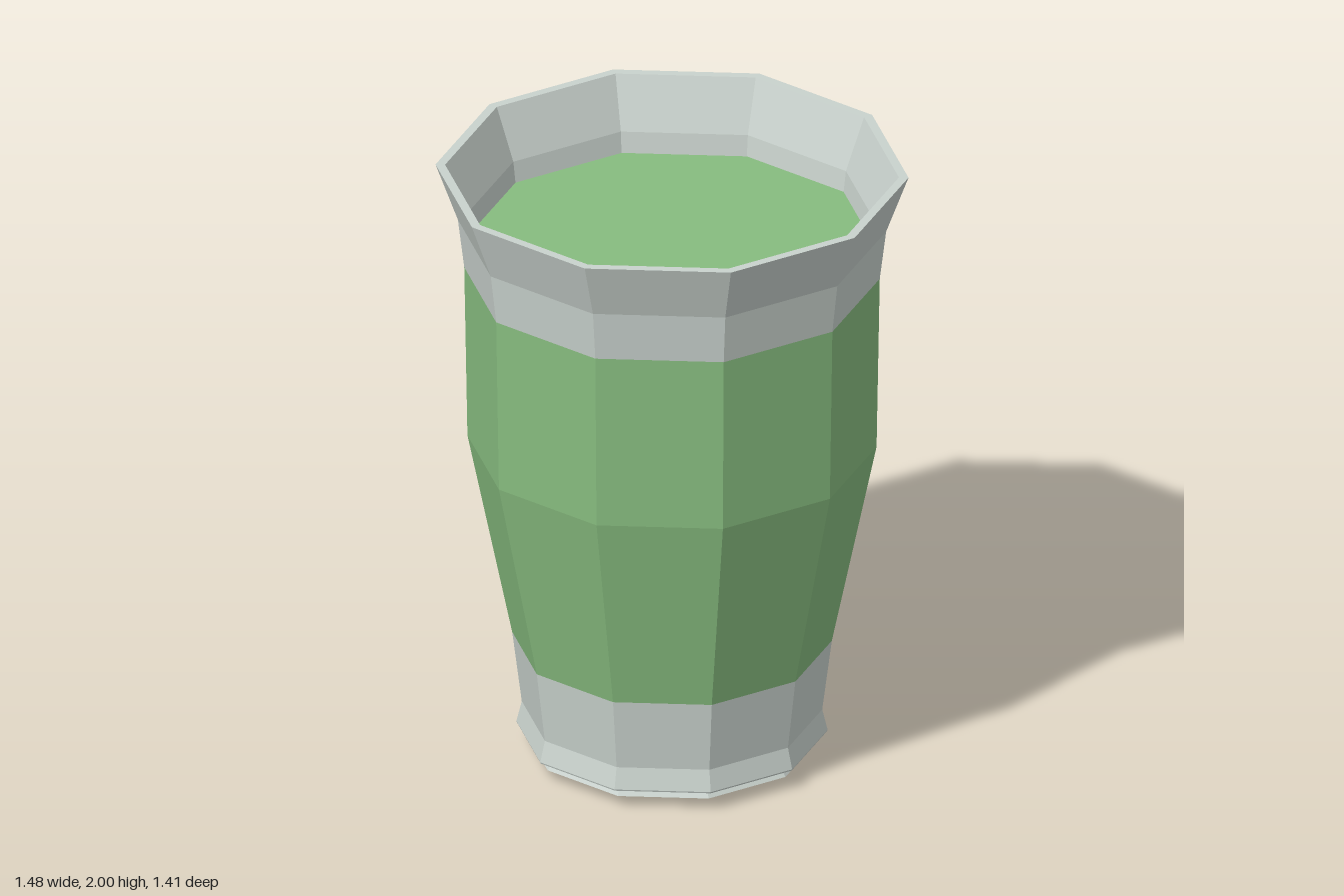
import * as THREE from 'three';

const SIDES = 10;
const glassMat = new THREE.MeshStandardMaterial({ color: 0xc9d2cd, flatShading: true });
const greenMat = new THREE.MeshStandardMaterial({ color: 0x87bc7f, flatShading: true });

// Ten-sided lathe with corners on the x axis; profile is [radius, height] pairs
function ring(name, profile, material) {
  const points = profile.map(([r, y]) => new THREE.Vector2(r, y));
  const geometry = new THREE.LatheGeometry(points, SIDES, Math.PI / 2);
  const mesh = new THREE.Mesh(geometry, material);
  mesh.name = name;
  return mesh;
}

// Flat ten-sided disc facing up or down
function disc(name, radius, y, up) {
  const geometry = new THREE.CircleGeometry(radius, SIDES).rotateX(up ? -Math.PI / 2 : Math.PI / 2);
  const mesh = new THREE.Mesh(geometry, greenMat);
  mesh.name = name;
  mesh.position.y = y;
  return mesh;
}

export function createModel() {
  const cup = new THREE.Group();
  cup.name = 'tumbler';

  // Foot: recessed hole edge, bevel, groove, flared lip and lower wall
  cup.add(ring('foot', [
    [0.31, 0.02], [0.31, 0], [0.46, 0.035], [0.44, 0.062],
    [0.485, 0.065], [0.487, 0.07], [0.47, 0.14], [0.5, 0.38],
  ], glassMat));

  // Coloured band of the wall
  cup.add(ring('filledWall', [[0.5, 0.38], [0.64, 1.06], [0.65, 1.645]], greenMat));

  // Flared rim, folded over into the inner wall
  cup.add(ring('rim', [
    [0.65, 1.645], [0.67, 1.81], [0.74, 2], [0.71, 2], [0.643, 1.83], [0.632, 1.74],
  ], glassMat));

  // Drink surface and the underside seen through the foot
  cup.add(disc('drinkSurface', 0.635, 1.76, true));
  cup.add(disc('underside', 0.31, 0.015, false));

  return cup;
}
